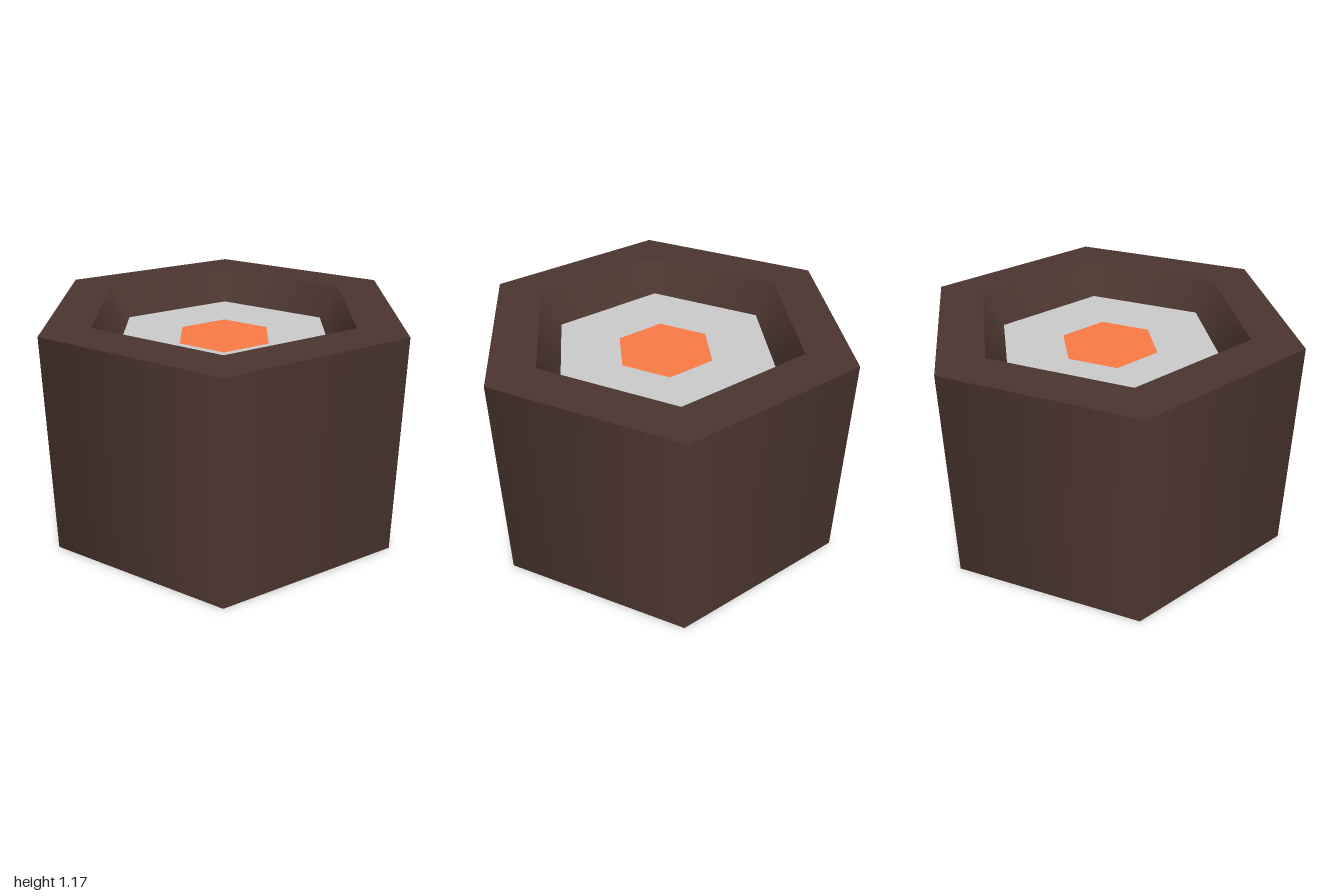
import * as THREE from 'three';

const brown = new THREE.MeshStandardMaterial({ color: 0x4c352f });
const grey = new THREE.MeshStandardMaterial({ color: 0xcccccc });
const orange = new THREE.MeshStandardMaterial({ color: 0xfc7b45 });

// One six-sided band swept between two [radius, height] points, corners on the x axis.
// Each band has its own normals, so edges between bands stay sharp.
function hexBand(name, from, to, material) {
  const points = [new THREE.Vector2(...from), new THREE.Vector2(...to)];
  const mesh = new THREE.Mesh(new THREE.LatheGeometry(points, 6, Math.PI / 2), material);
  mesh.name = name;
  return mesh;
}

export function createModel() {
  const height = 1.166;
  const floorY = 1.0;
  const group = new THREE.Group();
  group.name = 'hexagonalCup';

  // Outer shell, walked from the base centre up and over the rim into the recess
  const shell = new THREE.Group();
  shell.name = 'shell';
  shell.add(
    hexBand('base', [0, 0], [1, 0], brown),
    hexBand('outerWall', [1, 0], [1, height], brown),
    hexBand('rim', [1, height], [0.737, height], brown),
    hexBand('recessWall', [0.737, height], [0.623, floorY], brown)
  );

  // Recess floor with a coloured centre lying on it
  group.add(
    shell,
    hexBand('recessFloor', [0.623, floorY], [0, floorY], grey),
    hexBand('centreInlay', [0.265, floorY + 0.003], [0, floorY + 0.003], orange)
  );
  return group;
}
